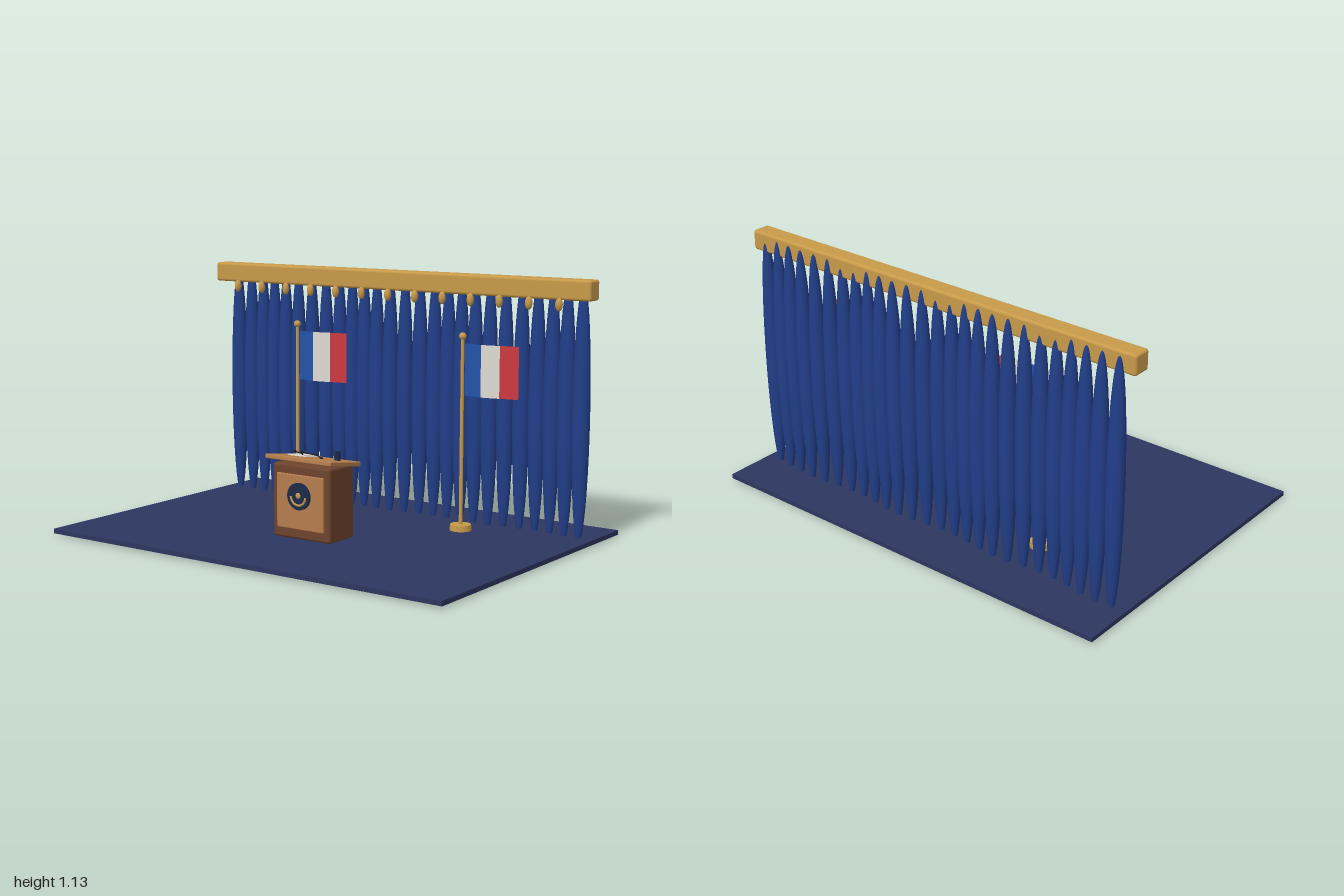
import * as THREE from 'three';
import { RoundedBoxGeometry } from 'three/addons/geometries/RoundedBoxGeometry.js';

function material(name, color, side = THREE.FrontSide) {
  const m = new THREE.MeshStandardMaterial({ color, side });
  m.name = name;
  return m;
}

export function createModel() {
  const carpet = material('carpet navy', 0x2d365f);
  const curtainBlue = material('curtain blue', 0x213e88);
  const gold = material('gold', 0xc79a4a);
  const darkWood = material('dark wood', 0x6e432d);
  const lightWood = material('light wood', 0xb47c4e);
  const white = material('white', 0xdedbd3, THREE.DoubleSide);
  const red = material('red', 0xcc3a40, THREE.DoubleSide);
  const flagBlue = material('flag blue', 0x2353a8, THREE.DoubleSide);
  const navy = material('dark navy', 0x1d2a4a);
  const black = material('black', 0x222226);

  const model = new THREE.Group();
  model.name = 'pressStage';

  function add(parent, name, geometry, mat, x = 0, y = 0, z = 0) {
    const mesh = new THREE.Mesh(geometry, mat);
    mesh.name = name;
    mesh.position.set(x, y, z);
    parent.add(mesh);
    return mesh;
  }
  function group(name, x = 0, y = 0, z = 0) {
    const g = new THREE.Group();
    g.name = name;
    g.position.set(x, y, z);
    model.add(g);
    return g;
  }

  // Stage floor
  add(model, 'floor', new THREE.BoxGeometry(2, 0.02, 1.424), carpet, 0, 0.02, 0);

  // Curtain: a row of long folds, staggered in depth
  const curtain = group('curtain');
  const fold = new THREE.SphereGeometry(1, 20, 28).scale(0.039, 0.556, 0.035);
  for (let i = 0; i < 26; i++) {
    add(curtain, 'curtainFold', fold, curtainBlue,
      -0.931 + i * 0.07448, 0.558, -0.484 - 0.011 * Math.sin(i * 0.9 + 0.6));
  }

  // Valance with hanging tassels
  const valance = group('valance');
  add(valance, 'valanceBeam', new RoundedBoxGeometry(2, 0.088, 0.084, 3, 0.012), gold, 0, 1.088, -0.443);
  const tassel = new THREE.SphereGeometry(1, 14, 12).scale(0.016, 0.028, 0.016);
  for (let i = 0; i < 13; i++) {
    add(valance, 'tassel', tassel, gold, -0.859 + i * 0.1432, 1.026, -0.393);
  }

  // Flag stand: base, pole, finial and three cloth stripes
  function flagStand(x) {
    const g = group('flagStand', x, 0, -0.313);
    add(g, 'standBase', new THREE.CylinderGeometry(0.046, 0.048, 0.026, 28), gold, 0, 0.043, 0);
    add(g, 'pole', new THREE.CylinderGeometry(0.0075, 0.0085, 0.82, 14), gold, 0, 0.46, 0);
    add(g, 'finial', new THREE.SphereGeometry(0.016, 16, 12), gold, 0, 0.876, 0);
    const stripe = 0.0845;
    [flagBlue, white, red].forEach((mat, i) => {
      const cloth = new THREE.PlaneGeometry(stripe, 0.225, 8, 6);
      cloth.translate(0.012 + stripe * (i + 0.5), 0.733, 0);
      const p = cloth.attributes.position;
      for (let k = 0; k < p.count; k++) {
        const u = (p.getX(k) - 0.012) / (3 * stripe);
        p.setZ(k, 0.014 * Math.sin(u * 4.9) * (0.6 + 0.4 * u) - 0.004 * u);
      }
      cloth.computeVertexNormals();
      add(g, 'flagStripe', cloth, mat);
    });
  }
  flagStand(-0.444);
  flagStand(0.444);

  // Lectern body and front panel
  const lectern = group('lectern');
  add(lectern, 'lecternBody', new RoundedBoxGeometry(0.3, 0.32, 0.175, 3, 0.012), darkWood, 0, 0.19, 0.159);
  add(lectern, 'frontPanel', new RoundedBoxGeometry(0.245, 0.235, 0.014, 2, 0.004), lightWood, 0, 0.192, 0.249);

  // Round plaque: disc, rim, lower arc and a plain centre boss
  const plaque = group('plaque', 0, 0.22, 0.256);
  add(plaque, 'plaqueDisc', new THREE.CylinderGeometry(0.058, 0.058, 0.014, 36).rotateX(Math.PI / 2), navy, 0, 0, 0.004);
  const arc = new THREE.TorusGeometry(0.038, 0.005, 8, 28, Math.PI);
  add(plaque, 'plaqueArc', arc.rotateZ(Math.PI), gold, 0, 0, 0.011);
  add(plaque, 'plaqueBoss', new THREE.SphereGeometry(0.013, 14, 10).scale(1, 1, 0.35), gold, 0, 0.004, 0.011);

  // Sloped reading top with loose sheets
  const desk = group('readingTop', 0, 0.362, 0.163);
  desk.rotation.x = -0.145;
  add(desk, 'deskBoard', new RoundedBoxGeometry(0.346, 0.02, 0.22, 3, 0.005), lightWood);
  [[-0.055, 0.0125, -0.011, 0.12], [-0.058, 0.0155, -0.008, 0.04]].forEach(([x, y, z, turn]) => {
    add(desk, 'paperSheet', new THREE.BoxGeometry(0.086, 0.002, 0.118), white, x, y, z).rotation.y = turn;
  });

  // Drinking cup
  add(lectern, 'cup', new THREE.CylinderGeometry(0.012, 0.012, 0.044, 18), navy, 0.12, 0.388, 0.15);

  // Gooseneck microphones
  for (const s of [-1, 1]) {
    const mic = group('microphone');
    const path = new THREE.CatmullRomCurve3([
      new THREE.Vector3(s * 0.046, 0.37, 0.165),
      new THREE.Vector3(s * 0.043, 0.385, 0.18),
      new THREE.Vector3(s * 0.033, 0.4, 0.222),
      new THREE.Vector3(s * 0.021, 0.412, 0.26),
    ]);
    add(mic, 'micStem', new THREE.TubeGeometry(path, 16, 0.0025, 8), black);
    add(mic, 'micFoot', new THREE.CylinderGeometry(0.006, 0.007, 0.008, 12), black, s * 0.046, 0.374, 0.165);
    add(mic, 'micHead', new THREE.SphereGeometry(1, 12, 10).scale(0.005, 0.005, 0.009), black, s * 0.02, 0.413, 0.263);
  }

  return model;
}
